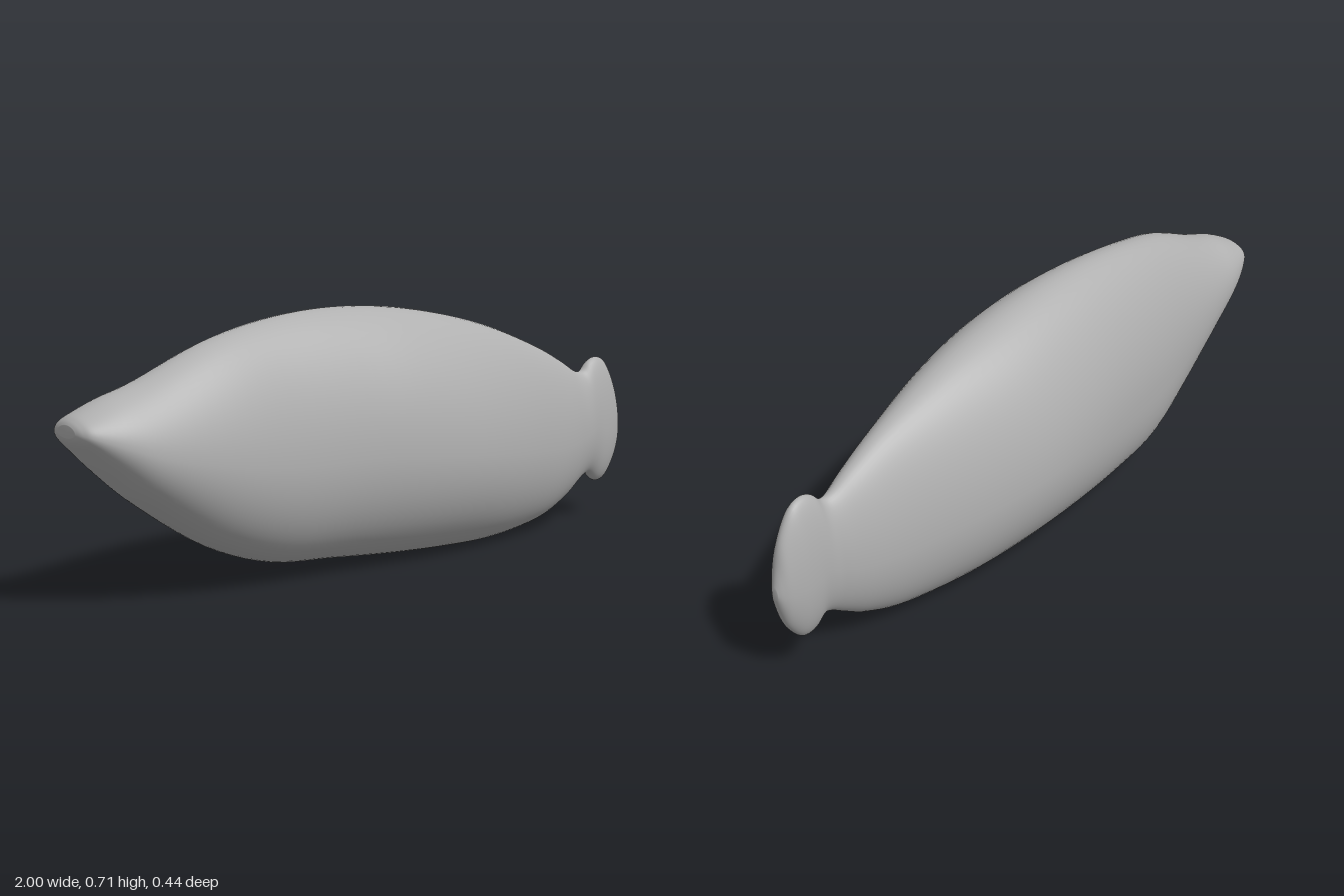
import * as THREE from 'three';

// Cross-sections along x: [x, bottom, top, back z, front z, squareness of lower back]
const SECTIONS = [
  [-1.0, 0.445, 0.475, -0.035, 0.04, 1],
  [-0.992, 0.43, 0.487, -0.065, 0.065, 1],
  [-0.97, 0.405, 0.502, -0.085, 0.09, 1],
  [-0.9, 0.335, 0.533, -0.11, 0.122, 1],
  [-0.8, 0.25, 0.566, -0.126, 0.145, 1],
  [-0.6, 0.122, 0.645, -0.155, 0.162, 0.92],
  [-0.4, 0.05, 0.69, -0.185, 0.166, 0.8],
  [-0.2, 0.03, 0.71, -0.206, 0.185, 0.82],
  [0.0, 0.014, 0.705, -0.221, 0.212, 0.92],
  [0.2, 0.004, 0.677, -0.216, 0.216, 1],
  [0.4, 0.002, 0.63, -0.175, 0.182, 1],
  [0.6, 0.025, 0.56, -0.117, 0.128, 1],
  [0.72, 0.068, 0.505, -0.083, 0.096, 1],
  [0.79, 0.11, 0.467, -0.058, 0.074, 1],
  [0.825, 0.132, 0.464, -0.044, 0.065, 1],
  [0.855, 0.138, 0.492, -0.04, 0.062, 1],
  [0.89, 0.113, 0.503, -0.04, 0.062, 1],
  [0.93, 0.118, 0.486, -0.038, 0.056, 1],
  [0.97, 0.168, 0.42, -0.027, 0.042, 1],
  [0.99, 0.225, 0.345, -0.015, 0.028, 1],
  [1.0, 0.27, 0.3, -0.003, 0.015, 1],
];

// Smooth interpolation between neighbouring sections
function sectionAt(t) {
  const last = SECTIONS.length - 1;
  const i = Math.min(Math.floor(t), last - 1);
  const f = t - i;
  const row = (k) => SECTIONS[Math.max(0, Math.min(last, k))];
  return row(i).map((b, k) => {
    const a = row(i - 1)[k], c = row(i + 1)[k], d = row(i + 2)[k];
    return b + 0.5 * f * (c - a + f * (2 * a - 5 * b + 4 * c - d + f * (3 * (b - c) + d - a)));
  });
}

// Closed egg-shaped loft with a rounded cap at each end
function loft(stepsPerSection, sides) {
  const rings = (SECTIONS.length - 1) * stepsPerSection + 1;
  const positions = [], index = [];
  for (let r = 0; r < rings; r++) {
    const [x, bottom, top, back, front, square] = sectionAt(r / stepsPerSection);
    const cy = bottom + (top - bottom) * 0.43;
    const cz = (back + front) / 2;
    for (let s = 0; s < sides; s++) {
      const a = (s / sides) * Math.PI * 2;
      let c = Math.cos(a), n = Math.sin(a);
      if (n > 0) c *= 1 - 0.1 * n * n;
      else if (c < 0) {
        c = -Math.pow(-c, square);
        n = -Math.pow(-n, square);
      }
      const y = cy + n * (n > 0 ? top - cy : cy - bottom);
      positions.push(x, y, cz + c * (front - back) / 2);
    }
  }
  for (let r = 0; r < rings - 1; r++) {
    for (let s = 0; s < sides; s++) {
      const p = r * sides + s, q = r * sides + (s + 1) % sides;
      index.push(p, p + sides, q, q, p + sides, q + sides);
    }
  }
  // End caps
  for (const [row, start] of [[SECTIONS[0], 0], [SECTIONS[SECTIONS.length - 1], (rings - 1) * sides]]) {
    const centre = positions.length / 3;
    positions.push(row[0], (row[1] + row[2]) / 2, (row[3] + row[4]) / 2);
    for (let s = 0; s < sides; s++) {
      const p = start + s, q = start + (s + 1) % sides;
      if (start === 0) index.push(centre, p, q);
      else index.push(centre, q, p);
    }
  }
  const geometry = new THREE.BufferGeometry();
  geometry.setAttribute('position', new THREE.Float32BufferAttribute(positions, 3));
  geometry.setIndex(index);
  geometry.computeVertexNormals();
  return geometry;
}

export function createModel() {
  const group = new THREE.Group();
  const grey = new THREE.MeshStandardMaterial({ color: 0xb0b0b0 });
  grey.name = 'plain grey';

  // Plump body running into the flattened tail
  const body = new THREE.Mesh(loft(5, 64), grey);
  body.name = 'bodyAndTail';
  group.add(body);
  return group;
}
